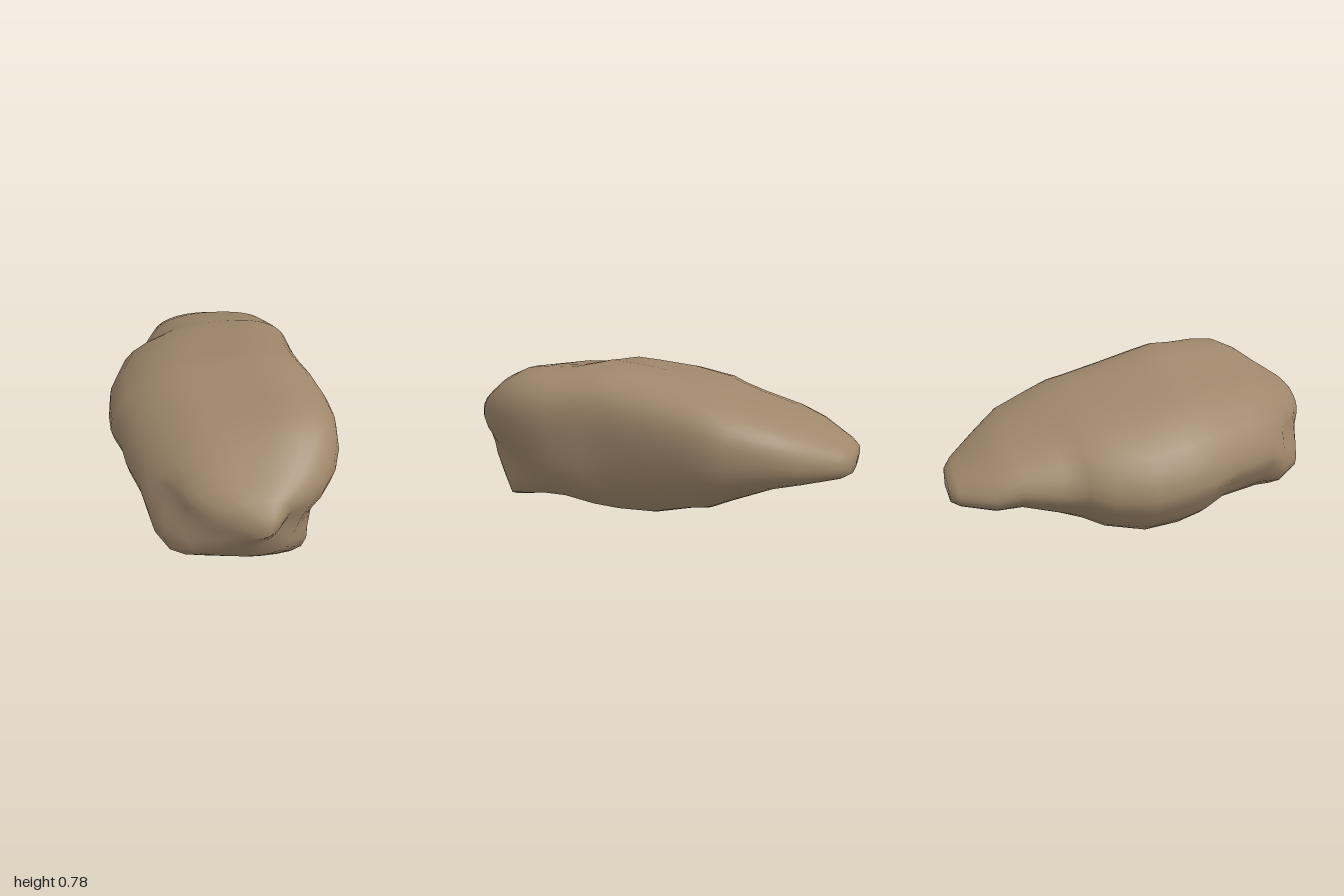
import * as THREE from 'three';

// Stations from back to front: z, left x, right x, bottom y, top y, roundness
const STATIONS = [
  [-0.99, -0.16, 0.07, 0.32, 0.44, 0.8],
  [-0.95, -0.21, 0.14, 0.30, 0.47, 0.8],
  [-0.80, -0.32, 0.28, 0.27, 0.55, 0.7],
  [-0.68, -0.34, 0.37, 0.25, 0.61, 0.6],
  [-0.50, -0.39, 0.44, 0.17, 0.66, 0.5],
  [-0.39, -0.41, 0.45, 0.11, 0.70, 0.4],
  [-0.30, -0.50, 0.45, 0.085, 0.715, 0.3],
  [-0.10, -0.54, 0.45, 0.02, 0.75, 0.15],
  [0.08, -0.53, 0.46, 0.01, 0.77, 0],
  [0.21, -0.51, 0.49, 0.02, 0.78, 0],
  [0.35, -0.45, 0.53, 0.05, 0.75, 0],
  [0.47, -0.42, 0.54, 0.04, 0.745, 0],
  [0.60, -0.36, 0.53, 0.02, 0.725, 0],
  [0.70, -0.32, 0.51, 0.0, 0.68, 0.1],
  [0.79, -0.26, 0.46, 0.09, 0.615, 0.2],
  [0.86, -0.18, 0.39, 0.16, 0.57, 0.3],
  [0.92, -0.05, 0.30, 0.27, 0.53, 0.4],
  [0.97, 0.09, 0.25, 0.35, 0.48, 0.6],
];

// Lopsided outline of the stone in unit coordinates, clockwise from the front
const OUTLINE = [
  [0, 0.5], [0.07, 0.72], [0.27, 0.89], [0.53, 0.96], [0.76, 1], [0.92, 0.95], [1, 0.8],
  [0.99, 0.5], [0.95, 0.26], [0.86, 0.06], [0.66, 0], [0.48, 0.01], [0.2, 0.09], [0.06, 0.33],
];

// Local swellings and hollows: centre, radius, push
const DENTS = [
  { c: [0.42, 0.27, 0.70], r: 0.15, push: [-0.10, 0.02, -0.03] }, // hollow on the front corner
  { c: [0.28, 0.34, 0.88], r: 0.12, push: [-0.02, 0.02, -0.05] }, // hollow under the tip
  { c: [-0.22, 0.37, 0.80], r: 0.12, push: [0.05, 0.02, -0.06] }, // crease above the lobe
  { c: [-0.22, 0.19, 0.80], r: 0.14, push: [-0.06, 0, 0.05] }, // lower front lobe
  { c: [0.30, 0.07, 0.45], r: 0.15, push: [0, 0.03, 0] }, // underside dip
];

function createStone() {
  const sides = 36;
  const curve = new THREE.CatmullRomCurve3(
    OUTLINE.map(([u, v]) => new THREE.Vector3(u, v, 0)), true);
  const positions = [];
  const index = [];

  STATIONS.forEach(([z, x0, x1, y0, y1, round]) => {
    for (let j = 0; j < sides; j++) {
      const p = curve.getPoint(j / sides);
      // Towards the ends the outline relaxes to an oval
      const a = Math.atan2(p.y - 0.5, p.x - 0.5);
      const u = THREE.MathUtils.lerp(p.x, 0.5 + 0.5 * Math.cos(a), round);
      const v = THREE.MathUtils.lerp(p.y, 0.5 + 0.5 * Math.sin(a), round);
      const q = new THREE.Vector3(x0 + (x1 - x0) * u, y0 + (y1 - y0) * v, z);
      const start = q.clone();
      for (const { c, r, push } of DENTS) {
        const d = start.distanceTo(new THREE.Vector3(...c)) / r;
        q.addScaledVector(new THREE.Vector3(...push), Math.exp(-d * d));
      }
      positions.push(q.x, Math.max(q.y, 0), q.z);
    }
  });

  // Skin between neighbouring rings
  const rings = STATIONS.length;
  for (let i = 0; i < rings - 1; i++) {
    for (let j = 0; j < sides; j++) {
      const k = (j + 1) % sides;
      const a = i * sides + j, b = i * sides + k;
      const c = a + sides, d = b + sides;
      index.push(a, c, b, b, c, d);
    }
  }

  // Blunt back end and pointed front tip
  const back = rings * sides, front = back + 1, last = (rings - 1) * sides;
  positions.push(-0.04, 0.38, -1, 0.19, 0.41, 1);
  for (let j = 0; j < sides; j++) {
    const k = (j + 1) % sides;
    index.push(back, j, k, front, last + k, last + j);
  }

  const geometry = new THREE.BufferGeometry();
  geometry.setAttribute('position', new THREE.Float32BufferAttribute(positions, 3));
  geometry.setIndex(index);
  geometry.computeVertexNormals();
  return geometry;
}

export function createModel() {
  const stone = new THREE.MeshStandardMaterial({ color: 0x9f876b });
  stone.name = 'brown stone';
  const rock = new THREE.Mesh(createStone(), stone);
  rock.name = 'rock';
  const group = new THREE.Group();
  group.name = 'boulder';
  group.add(rock);
  return group;
}
